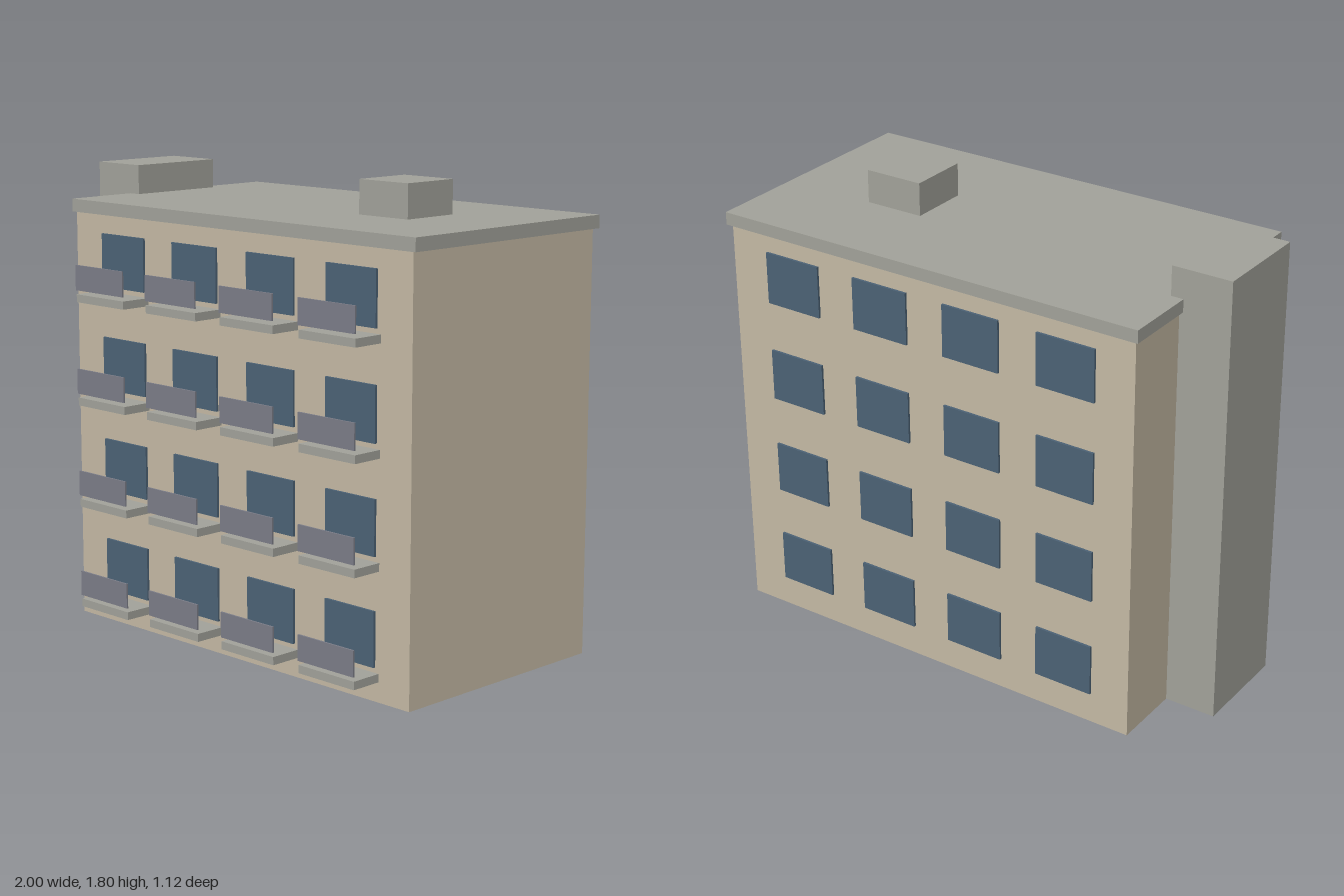
import * as THREE from 'three';

export function createModel() {
  const model = new THREE.Group();
  model.name = 'apartmentBlock';

  const material = (name, color) => {
    const m = new THREE.MeshStandardMaterial({ color });
    m.name = name;
    return m;
  };
  const wall = material('beigeWall', 0xc4b9a4);
  const concrete = material('greyConcrete', 0xa2a29a);
  const glass = material('blueGlass', 0x4c6275);
  const railing = material('railingGrey', 0x7c7d88);

  // Box given by its extents along each axis
  const box = (name, mat, [x0, x1], [y0, y1], [z0, z1], parent = model) => {
    const mesh = new THREE.Mesh(new THREE.BoxGeometry(x1 - x0, y1 - y0, z1 - z0), mat);
    mesh.position.set((x0 + x1) / 2, (y0 + y1) / 2, (z0 + z1) / 2);
    mesh.name = name;
    parent.add(mesh);
  };

  // Main volumes
  box('building', wall, [-0.795, 0.98], [0, 1.62], [-0.545, 0.43]);
  box('roofSlab', concrete, [-0.81, 0.998], [1.62, 1.67], [-0.56, 0.44]);
  box('stairTower', concrete, [-1, -0.76], [0, 1.785], [-0.263, 0.14]);
  box('roofHouse', concrete, [0.375, 0.615], [1.67, 1.8], [-0.183, 0.06]);

  // Four floors of four bays: window front and back, balcony in front
  for (let floor = 0; floor < 4; floor++) {
    for (let col = 0; col < 4; col++) {
      const bay = new THREE.Group();
      bay.name = `bay${floor + 1}_${col + 1}`;
      bay.position.set(-0.515 + col * 0.4035, floor * 0.405, 0);
      model.add(bay);
      const w = [-0.121, 0.121];
      const b = [-0.137, 0.137];
      box('frontWindow', glass, w, [0.126, 0.333], [0.43, 0.4395], bay);
      box('backWindow', glass, w, [0.126, 0.333], [-0.5545, -0.545], bay);
      box('balconySlab', concrete, b, [0.075, 0.106], [0.43, 0.556], bay);
      box('balconyRailing', railing, b, [0.122, 0.22], [0.553, 0.56], bay);
    }
  }
  return model;
}
